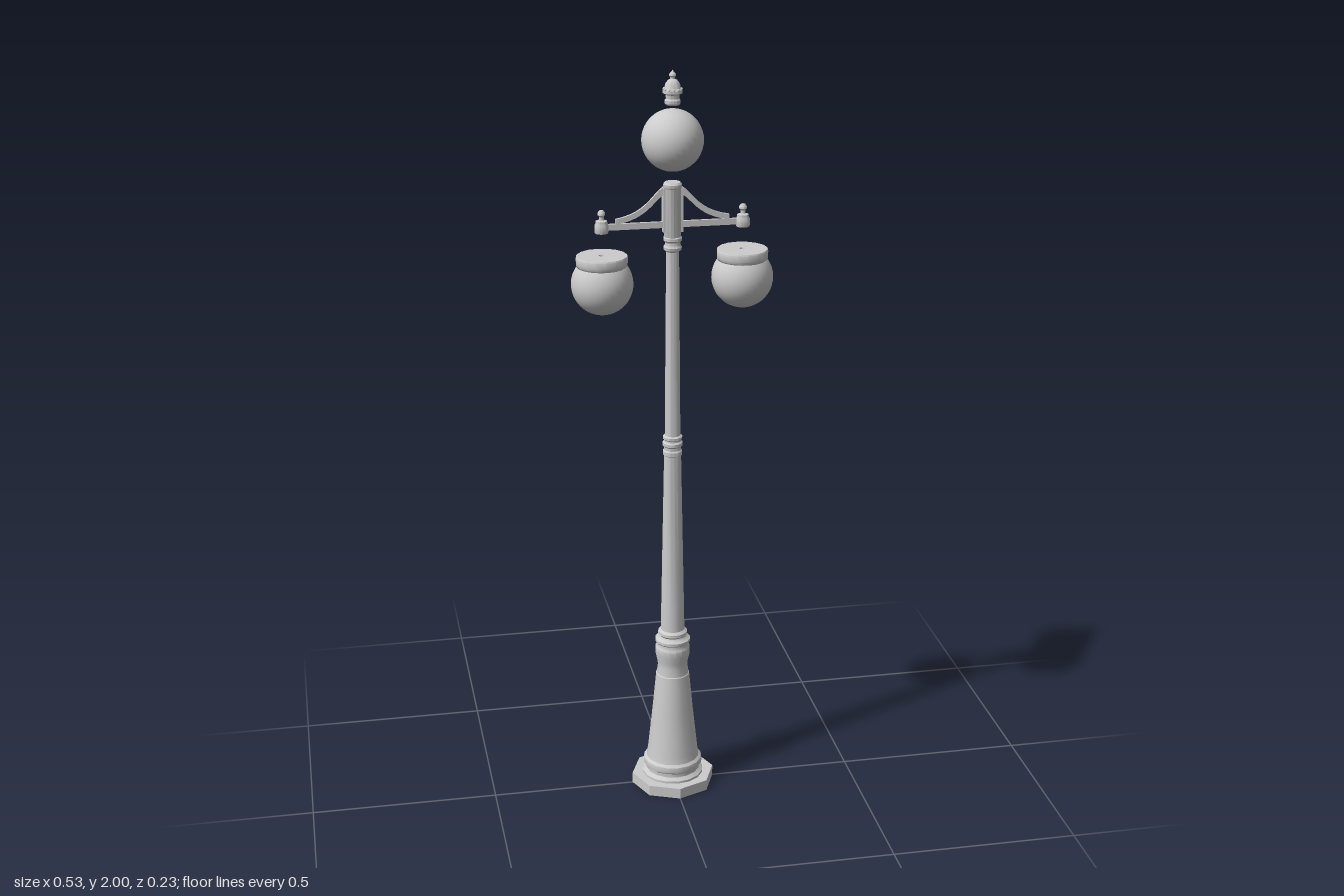
import * as THREE from 'three';
import { toCreasedNormals } from 'three/addons/utils/BufferGeometryUtils.js';

const material = new THREE.MeshStandardMaterial({ color: 0xcccccc, side: THREE.DoubleSide });

function add(parent, name, geometry, x = 0, y = 0, z = 0) {
  const mesh = new THREE.Mesh(geometry, material);
  mesh.name = name;
  mesh.position.set(x, y, z);
  parent.add(mesh);
  return mesh;
}

// Turned part from [radius, height] pairs, bottom to top
function turned(points, sides = 16) {
  const profile = points.map(([r, y]) => new THREE.Vector2(r, y));
  return toCreasedNormals(new THREE.LatheGeometry(profile, sides), 0.6);
}

// Small ball-topped finial; starts at y = 0
const smallFinial = [[0, 0], [0.017, 0], [0.018, 0.004], [0.018, 0.02], [0.015, 0.026], [0.015, 0.031],
  [0.007, 0.034], [0.006, 0.042], [0.01, 0.047], [0.01, 0.052], [0.006, 0.058], [0, 0.06]];

// Bracket arm reaching to one side (side = 1 or -1)
function createArm(side) {
  const arm = new THREE.Group();
  arm.name = side > 0 ? 'leftArm' : 'rightArm';
  const bar = add(arm, 'armBar', new THREE.BoxGeometry(0.155, 0.016, 0.008), side * 0.094, 1.606);
  bar.geometry.translate(0, 0, 0);

  // Concave sweeping brace cut from a flat plate
  const s = new THREE.Shape();
  s.moveTo(side * 0.02, 1.705);
  s.bezierCurveTo(side * 0.05, 1.695, side * 0.06, 1.64, side * 0.147, 1.626);
  s.lineTo(side * 0.147, 1.612);
  s.bezierCurveTo(side * 0.06, 1.625, side * 0.048, 1.675, side * 0.02, 1.685);
  s.closePath();
  const brace = new THREE.ExtrudeGeometry(s, { depth: 0.008, bevelEnabled: false, curveSegments: 12 });
  add(arm, 'armBrace', toCreasedNormals(brace, 0.6), 0, 0, -0.004);

  // Mounting plate against the post, and the end holder
  add(arm, 'mountingPlate', new THREE.BoxGeometry(0.006, 0.115, 0.022), side * 0.023, 1.645);
  add(arm, 'armEnd', turned(smallFinial), side * 0.183, 1.592);
  return arm;
}

// Hanging globe lamp with a flat cap
function createLamp(side) {
  const lamp = new THREE.Group();
  lamp.name = side > 0 ? 'leftLamp' : 'rightLamp';
  lamp.position.set(side * 0.183, 1.458, 0);
  const open = Math.acos(0.047 / 0.08);
  add(lamp, 'globe', new THREE.SphereGeometry(0.08, 32, 20, 0, Math.PI * 2, open, Math.PI - open));
  add(lamp, 'cap', turned([[0.062, 0.046], [0.066, 0.051], [0.067, 0.055], [0.067, 0.072], [0.065, 0.075],
    [0.008, 0.075], [0.007, 0.07], [0, 0.07]]));
  return lamp;
}

export function createModel() {
  const model = new THREE.Group();
  model.name = 'streetLamp';

  // Octagonal plinth
  add(model, 'plinth', toCreasedNormals(new THREE.CylinderGeometry(0.114, 0.114, 0.03, 8), 0.5), 0, 0.015);

  // Flared pedestal with rounded foot and collar
  add(model, 'pedestal', turned([[0.084, 0.03], [0.084, 0.036], [0.074, 0.044], [0.074, 0.054], [0.08, 0.059],
    [0.082, 0.067], [0.08, 0.076], [0.073, 0.082], [0.07, 0.1], [0.057, 0.22], [0.046, 0.335], [0.044, 0.337],
    [0.041, 0.36], [0.042, 0.375], [0.047, 0.395], [0.048, 0.415], [0.044, 0.422], [0.044, 0.43],
    [0.048, 0.434], [0.048, 0.441], [0.039, 0.446], [0.036, 0.451], [0.04, 0.456], [0.04, 0.463],
    [0.034, 0.469], [0.03, 0.471]]));

  // Lower and upper shaft with a ringed joint between
  add(model, 'lowerShaft', turned([[0.033, 0.465], [0.023, 0.98]]));
  add(model, 'shaftJoint', turned([[0.022, 0.977], [0.026, 0.98], [0.026, 0.99], [0.023, 0.994], [0.023, 1.002],
    [0.027, 1.006], [0.027, 1.014], [0.023, 1.018], [0.023, 1.022], [0.026, 1.025], [0.026, 1.031], [0.02, 1.035]]));
  add(model, 'upperShaft', turned([[0.021, 1.03], [0.017, 1.54]]));

  // Neck rings and post head
  add(model, 'neck', turned([[0.017, 1.535], [0.023, 1.54], [0.024, 1.547], [0.02, 1.553], [0.02, 1.56],
    [0.024, 1.565], [0.024, 1.572], [0.019, 1.577]]));
  add(model, 'postHead', turned([[0.019, 1.57], [0.022, 1.575], [0.022, 1.7], [0.024, 1.703], [0.024, 1.711],
    [0.02, 1.716], [0, 1.716]]));

  for (const side of [-1, 1]) {
    model.add(createArm(side), createLamp(side));
  }

  // Top globe and crowning finial
  add(model, 'topGlobe', new THREE.SphereGeometry(0.079, 32, 20), 0, 1.823);
  add(model, 'topFinial', turned([[0, 1.912], [0.017, 1.912], [0.02, 1.916], [0.02, 1.924], [0.017, 1.928],
    [0.018, 1.938], [0.025, 1.942], [0.025, 1.95], [0.021, 1.954], [0.019, 1.964], [0.012, 1.974],
    [0.006, 1.977], [0.006, 1.981], [0.009, 1.985], [0.008, 1.99], [0.003, 1.995], [0, 2]]));
  for (let i = 0; i < 12; i++) {
    const a = (i / 12) * Math.PI * 2;
    const bead = new THREE.SphereGeometry(0.003, 8, 6);
    add(model, 'finialBead', bead, Math.cos(a) * 0.023, 1.952, Math.sin(a) * 0.023);
  }
  return model;
}
